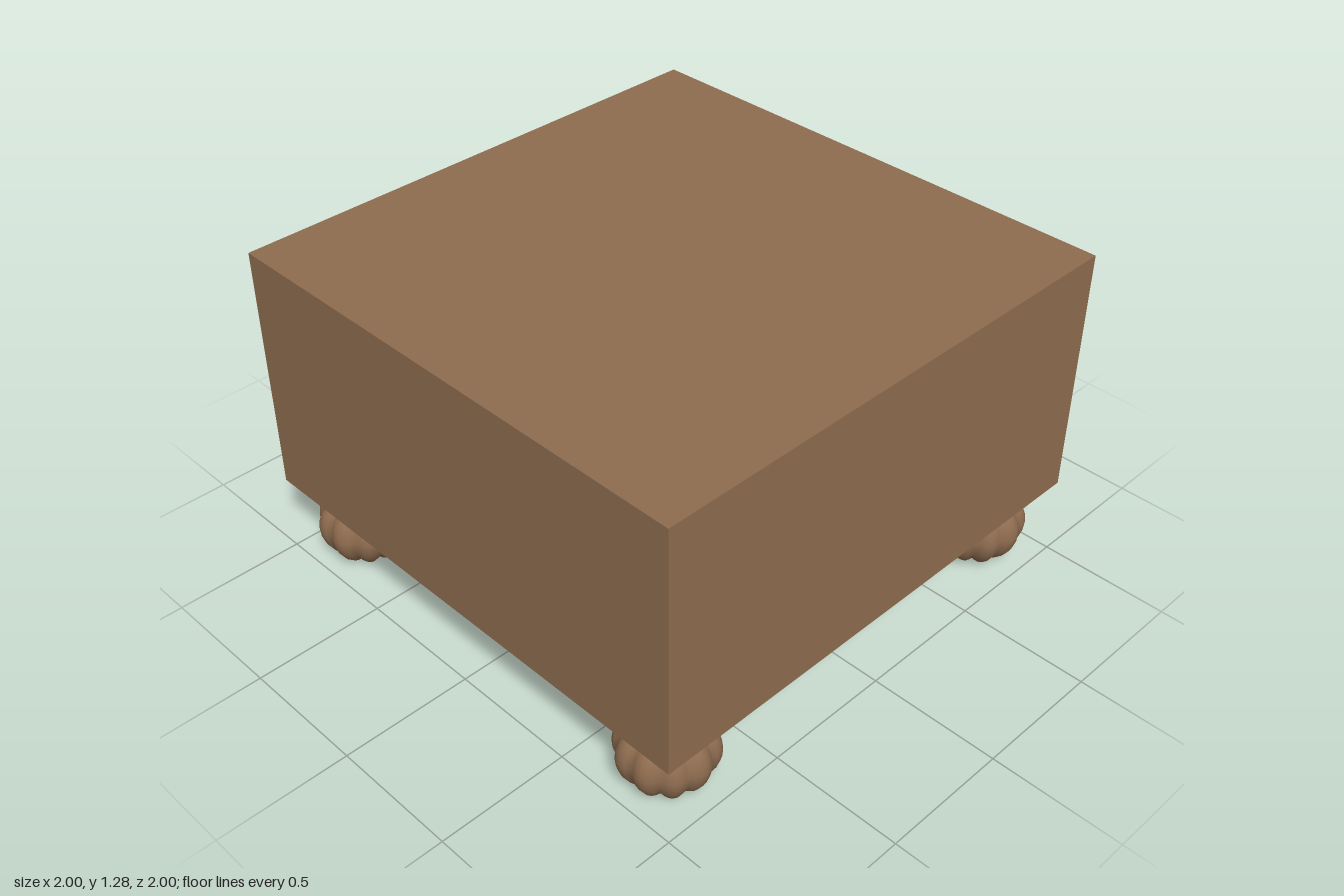
import * as THREE from 'three';
import { mergeVertices } from 'three/addons/utils/BufferGeometryUtils.js';

const LOBES = 10;

// Lathe whose outline is pinched into rounded lobes; strength fades out at the neck radius
function lobedLathe(profile, midY, depth, neck) {
  const points = profile.map(([r, y]) => new THREE.Vector2(r, y));
  let geo = new THREE.LatheGeometry(points, LOBES * 6);
  const pos = geo.attributes.position;
  for (let i = 0; i < pos.count; i++) {
    const x = pos.getX(i), y = pos.getY(i), z = pos.getZ(i);
    const r = Math.hypot(x, z);
    const groove = 1 - Math.abs(Math.sin(Math.atan2(x, z) * LOBES / 2));
    const k = 1 - depth * groove * THREE.MathUtils.smoothstep(r, neck, neck + 0.03);
    pos.setXYZ(i, x * k, midY + (y - midY) * k, z * k);
  }
  geo.deleteAttribute('uv');
  geo.deleteAttribute('normal');
  geo = mergeVertices(geo, 1e-5);
  geo.computeVertexNormals();
  return geo;
}

export function createModel() {
  const model = new THREE.Group();
  model.name = 'footedBlock';
  const wood = new THREE.MeshStandardMaterial({ color: 0x8f6d50 });
  wood.name = 'brownWood';

  // Solid square body
  const body = new THREE.Mesh(new THREE.BoxGeometry(2, 0.97, 2), wood);
  body.name = 'body';
  body.position.y = 0.795;
  model.add(body);

  // Gourd-shaped bulb, narrow neck and scalloped collar
  const bulb = lobedLathe([
    [0, 0.004], [0.05, 0.003], [0.085, 0], [0.11, 0.012], [0.14, 0.04], [0.165, 0.078],
    [0.178, 0.115], [0.181, 0.145], [0.176, 0.18], [0.163, 0.212], [0.143, 0.235],
    [0.12, 0.246], [0.097, 0.244], [0.077, 0.235], [0.06, 0.228], [0, 0.228],
  ], 0.13, 0.1, 0.06);
  const neck = new THREE.CylinderGeometry(0.06, 0.06, 0.09, 24);
  neck.translate(0, 0.265, 0);
  const collar = lobedLathe([
    [0.055, 0.278], [0.075, 0.274], [0.098, 0.271], [0.117, 0.275],
    [0.131, 0.289], [0.141, 0.312], [0, 0.313],
  ], 0.312, 0.13, 0.06);

  // One foot under each corner
  for (const sx of [-1, 1]) {
    for (const sz of [-1, 1]) {
      const foot = new THREE.Group();
      foot.name = (sz > 0 ? 'front' : 'back') + (sx > 0 ? 'Left' : 'Right') + 'Foot';
      for (const [name, geo] of Object.entries({ bulb, neck, collar })) {
        const mesh = new THREE.Mesh(geo, wood);
        mesh.name = name;
        foot.add(mesh);
      }
      foot.position.set(sx * 0.796, 0, sz * 0.806);
      model.add(foot);
    }
  }
  return model;
}
